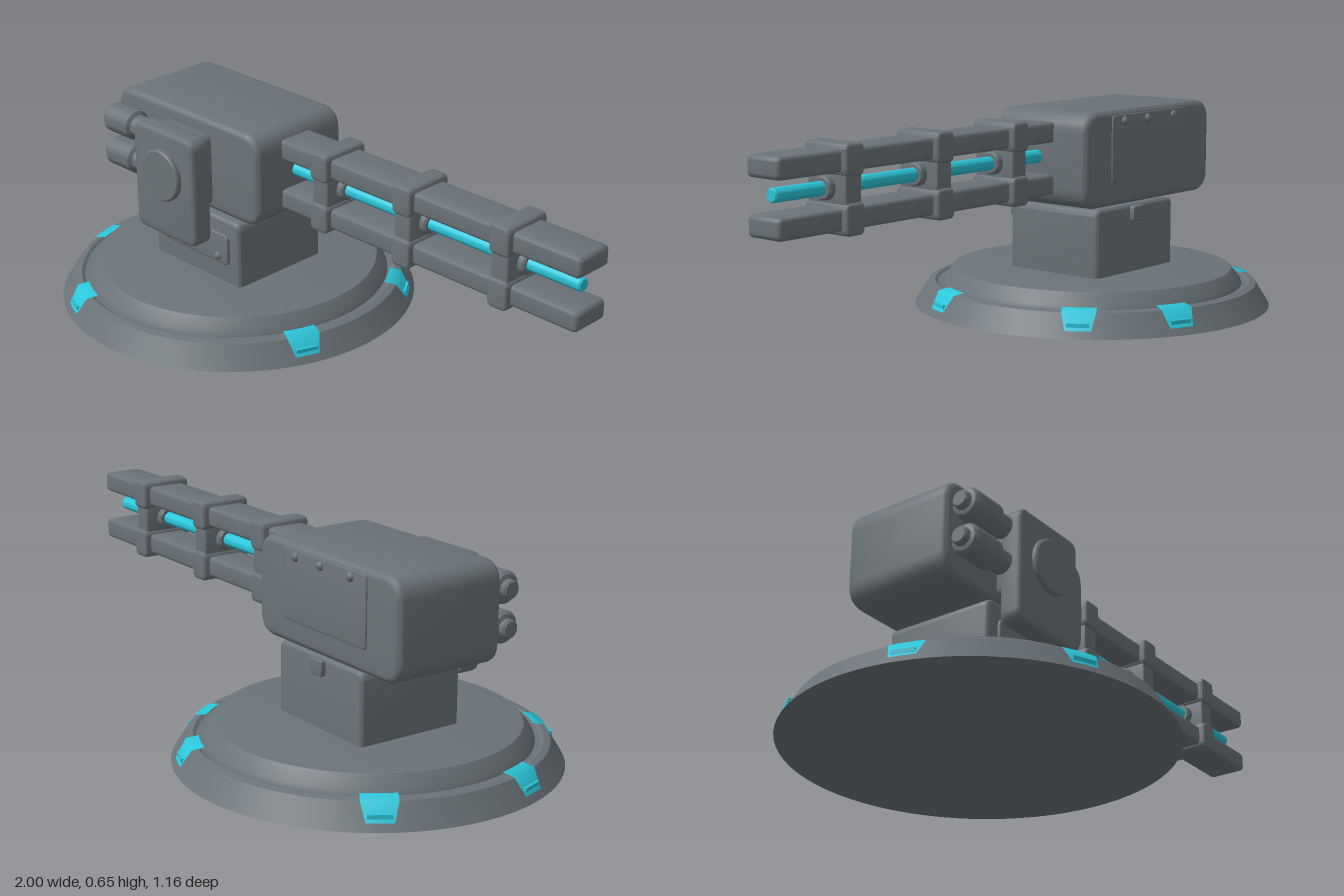
import * as THREE from 'three';
import { toCreasedNormals } from 'three/addons/utils/BufferGeometryUtils.js';

const metal = new THREE.MeshStandardMaterial({ color: 0x6a7378 });
metal.name = 'gunmetal';
const glow = new THREE.MeshStandardMaterial({ color: 0x2bc6da });
glow.name = 'cyan';

const BASE_X = -0.42;

function add(parent, name, geo, mat, x = 0, y = 0, z = 0) {
  const m = new THREE.Mesh(geo, mat);
  m.name = name;
  m.position.set(x, y, z);
  parent.add(m);
  return m;
}

// Rounded rectangle in x/y, extruded along z with bevelled rims; given by its limits
function slab(parent, name, [x0, x1], [y0, y1], [z0, z1], r, b) {
  const w = (x1 - x0) / 2 - b, h = (y1 - y0) / 2 - b, s = new THREE.Shape();
  const c = Math.max(r - b, 0.002);
  s.moveTo(-w + c, -h);
  s.lineTo(w - c, -h).quadraticCurveTo(w, -h, w, -h + c);
  s.lineTo(w, h - c).quadraticCurveTo(w, h, w - c, h);
  s.lineTo(-w + c, h).quadraticCurveTo(-w, h, -w, h - c);
  s.lineTo(-w, -h + c).quadraticCurveTo(-w, -h, -w + c, -h);
  const depth = z1 - z0 - 2 * b;
  const g = new THREE.ExtrudeGeometry(s, {
    depth, bevelThickness: b, bevelSize: b, bevelSegments: 3, curveSegments: 6,
  });
  g.translate(0, 0, -depth / 2);
  return add(parent, name, toCreasedNormals(g, 0.6), metal, (x0 + x1) / 2, (y0 + y1) / 2, (z0 + z1) / 2);
}

// Lathed solid from [radius, height] pairs
function turned(points, segments = 32) {
  const g = new THREE.LatheGeometry(points.map(p => new THREE.Vector2(...p)), segments);
  return toCreasedNormals(g, 0.5);
}

// Trapezoid light that follows the slope of the base rim
function rimLight(angle) {
  const g = new THREE.PlaneGeometry(2, 1, 8, 2);
  const p = g.attributes.position;
  const rows = [[0.567, 0.022, 0.07], [0.536, 0.075, 0.1], [0.498, 0.081, 0.105]];
  for (let i = 0; i < p.count; i++) {
    const [r, y, half] = rows[Math.round((p.getY(i) + 0.5) * 2)];
    const a = angle - p.getX(i) * half;
    p.setXYZ(i, r * Math.cos(a), y, r * Math.sin(a));
  }
  g.computeVertexNormals();
  return g;
}

export function createModel() {
  const model = new THREE.Group();
  model.name = 'turret';

  // Round base with stepped rim
  const base = new THREE.Group();
  base.name = 'base';
  base.position.x = BASE_X;
  model.add(base);
  add(base, 'baseDisc', turned([[0, 0], [0.58, 0], [0.535, 0.072], [0.515, 0.077], [0.505, 0.07], [0.49, 0.07],
    [0.485, 0.083], [0.455, 0.12], [0.445, 0.122], [0, 0.122]], 72), metal);
  for (const deg of [-67, -34, 21, 113, 163, 214]) {
    const a = THREE.MathUtils.degToRad(deg);
    add(base, 'rimLight', rimLight(a), glow);
    const lip = add(base, 'rimLightLip', new THREE.BoxGeometry(0.07, 0.012, 0.012), glow,
      0.556 * Math.cos(a), 0.038, 0.556 * Math.sin(a));
    lip.rotation.y = Math.PI / 2 - a;
  }

  // Pedestal with bolted front plate and rear latch
  slab(model, 'pedestal', [-0.62, -0.22], [0.1, 0.34], [-0.178, 0.178], 0.025, 0.012);
  slab(model, 'pedestalPlate', [-0.575, -0.265], [0.185, 0.29], [0.17, 0.187], 0.02, 0.005);
  for (const x of [-0.54, -0.46, -0.31]) {
    add(model, 'plateBolt', new THREE.SphereGeometry(0.014, 12, 8), metal, x, 0.21, 0.186);
  }
  slab(model, 'rearLatch', [-0.45, -0.39], [0.285, 0.335], [-0.193, -0.17], 0.01, 0.005);

  // Main housing
  slab(model, 'housing', [-0.8, -0.14], [0.348, 0.65], [-0.193, 0.168], 0.065, 0.018);

  // Rear access door with hinge bolts
  slab(model, 'rearDoor', [-0.66, -0.27], [0.42, 0.635], [-0.198, -0.18], 0.015, 0.003);
  for (const x of [-0.59, -0.45, -0.33]) {
    add(model, 'doorBolt', new THREE.SphereGeometry(0.015, 12, 8), metal, x, 0.615, -0.195);
  }

  // Side shield on its mount, with round cap
  slab(model, 'shieldMount', [-0.57, -0.35], [0.365, 0.605], [0.15, 0.21], 0.03, 0.008);
  slab(model, 'shield', [-0.6, -0.32], [0.255, 0.615], [0.2, 0.273], 0.035, 0.014);
  const cap = add(model, 'shieldCap',
    turned([[0, 0], [0.085, 0], [0.085, 0.02], [0.08, 0.025], [0, 0.025]], 40), metal, -0.46, 0.47, 0.265);
  cap.rotation.x = Math.PI / 2;

  // Twin canisters, pointing back along -x
  for (const y of [0.56, 0.445]) {
    const can = add(model, 'canister', turned([[0, 0], [0.036, 0], [0.036, 0.05], [0.048, 0.058], [0.048, 0.165],
      [0.04, 0.175], [0.028, 0.178], [0.028, 0.192], [0.022, 0.198], [0, 0.198]]), metal, -0.6, y, 0.208);
    can.rotation.z = Math.PI / 2;
    add(model, 'canisterBracket', new THREE.BoxGeometry(0.04, 0.06, 0.06), metal, -0.7, y, 0.175);
  }

  // Barrel rails above and below the energy rod
  for (const y of [0.584, 0.42]) {
    slab(model, 'barrelRail', [-0.2, 1], [y - 0.032, y + 0.032], [-0.065, 0.065], 0.016, 0.012);
  }
  const rod = add(model, 'energyRod',
    turned([[0, 0], [0.021, 0], [0.021, 1.115], [0.017, 1.12], [0, 1.12]], 20), glow, -0.15, 0.505, 0);
  rod.rotation.z = -Math.PI / 2;

  // Clamps holding rails and rod together
  for (const x of [0.035, 0.37, 0.735]) {
    const clamp = new THREE.Group();
    clamp.name = 'clamp';
    model.add(clamp);
    slab(clamp, 'clampWeb', [x - 0.03, x + 0.03], [0.4, 0.6], [-0.076, 0.076], 0.006, 0.005);
    for (const [y0, y1] of [[0.54, 0.632], [0.374, 0.466]]) {
      slab(clamp, 'clampJaw', [x - 0.036, x + 0.036], [y0, y1], [-0.085, 0.085], 0.018, 0.01);
    }
    const collar = add(clamp, 'collar',
      turned([[0, -0.052], [0.03, -0.052], [0.035, -0.046], [0.035, 0.046], [0.03, 0.052], [0, 0.052]], 24),
      metal, x, 0.505, 0);
    collar.rotation.z = -Math.PI / 2;
  }
  // Raised pads on the foremost clamp, around the rod
  for (const y of [0.584, 0.42]) {
    slab(model, 'railTipPad', [0.94, 1], [y - 0.028, y + 0.028], [-0.06, 0.06], 0.01, 0.005);
  }
  return model;
}
